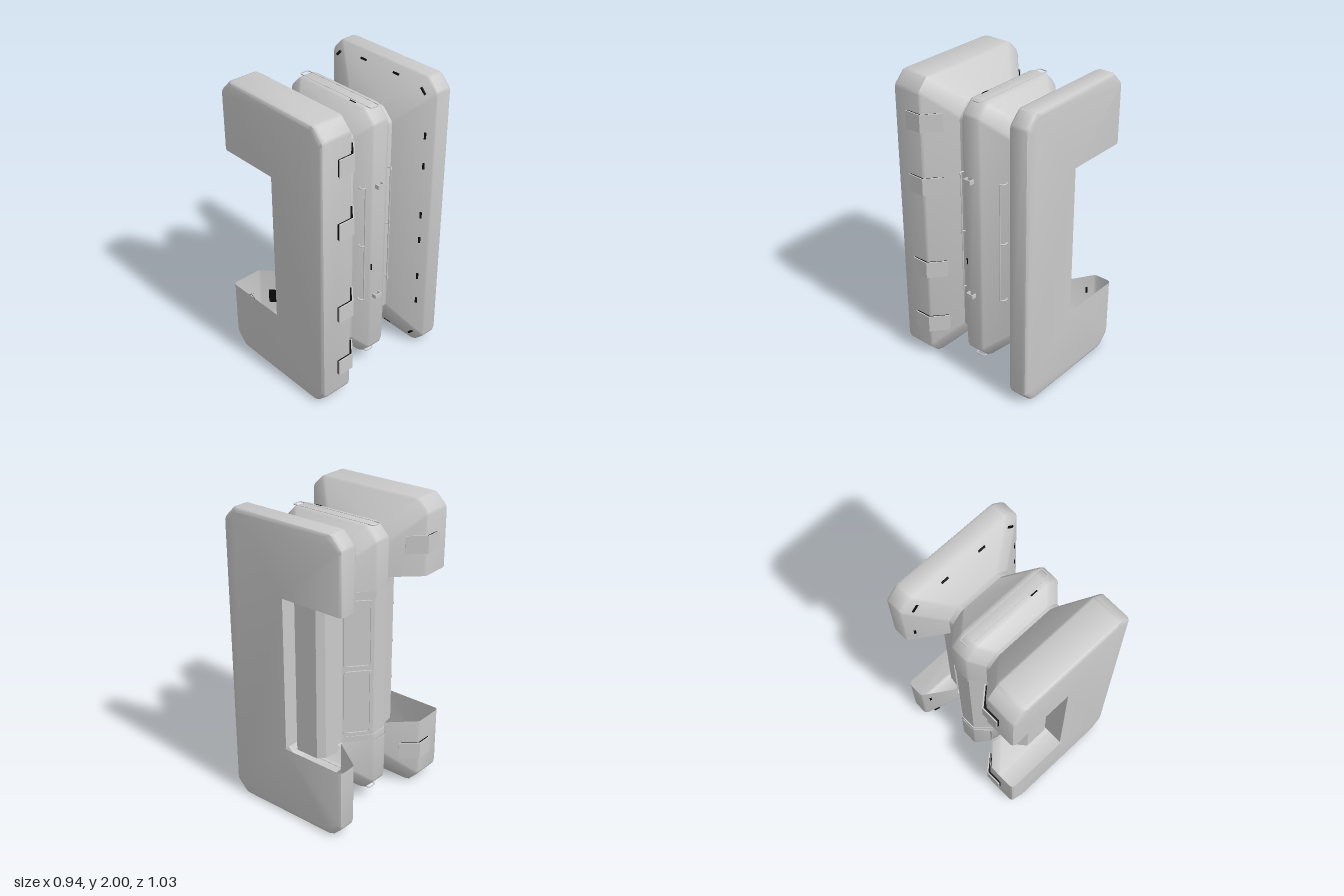
import * as THREE from 'three';
import { mergeGeometries, toCreasedNormals } from 'three/addons/utils/BufferGeometryUtils.js';

const NOTCH_LOW = 0.49, NOTCH_HIGH = 1.52;

export function createModel() {
  const root = new THREE.Group();
  const grey = new THREE.MeshStandardMaterial({ color: 0xcacaca, side: THREE.DoubleSide });
  grey.name = 'panelGrey';
  const black = new THREE.MeshStandardMaterial({ color: 0x0a0a0a });
  black.name = 'slotBlack';

  function add(name, geo, x = 0, y = 0, z = 0, ry = 0, mat = grey, rx = 0) {
    const m = new THREE.Mesh(geo, mat);
    m.name = name;
    m.position.set(x, y, z);
    m.rotation.set(rx, ry, 0);
    root.add(m);
    return m;
  }

  // Outline open at the notch on -x: up, over the top, down +x, under and back
  function outline(d) {
    const hx = 0.45 - d, hy = 1 - d;
    const corner = [[0, 0.092], [0.007, 0.072], [0.072, 0.007], [0.092, 0]];
    const back = corner.slice().reverse();
    const pts = [[-hx, NOTCH_HIGH]];
    corner.forEach(([a, b]) => pts.push([-hx + a, 1 + hy - b]));
    back.forEach(([a, b]) => pts.push([hx - a, 1 + hy - b]));
    corner.forEach(([a, b]) => pts.push([hx - a, 1 - hy + b]));
    back.forEach(([a, b]) => pts.push([-hx + a, 1 - hy + b]));
    pts.push([-hx, NOTCH_LOW]);
    return pts;
  }

  // Hollow shell: [z, inset] rings through front slab, middle and back slab
  const rings = [
    [0.514, 0.025], [0.506, 0.007], [0.489, 0], [0.305, 0], [0.29, 0.01],
    [0.14, 0.17], [0.12, 0.17], [0.045, 0.096], [0.03, 0.09], [-0.065, 0.09],
    [-0.085, 0.1], [-0.215, 0.22], [-0.245, 0.22], [-0.385, 0.008],
    [-0.4, 0], [-0.489, 0], [-0.506, 0.007], [-0.514, 0.025]
  ];
  const pos = [], index = [];
  const n = outline(0).length;
  rings.forEach(([z, d], i) => {
    outline(d).forEach(([x, y], j) => {
      pos.push(x, y, z);
      if (i && j) {
        const a = (i - 1) * n + j - 1, b = i * n + j - 1;
        index.push(a, a + 1, b, a + 1, b + 1, b);
      }
    });
  });
  const sides = new THREE.BufferGeometry();
  sides.setAttribute('position', new THREE.Float32BufferAttribute(pos, 3));
  sides.setIndex(index);

  // Flat C-shaped end faces, joined to the sides for a soft rim
  const face = new THREE.Shape([...outline(0.025), [0, NOTCH_LOW], [0, NOTCH_HIGH]]
    .map(([x, y]) => new THREE.Vector2(x, y)));
  function endFace(z) {
    const g = new THREE.ShapeGeometry(face).translate(0, 0, z);
    g.deleteAttribute('uv');
    g.deleteAttribute('normal');
    if (z < 0) g.setIndex([...g.index.array].reverse());
    return g;
  }
  add('shell', toCreasedNormals(mergeGeometries([sides, endFace(0.514), endFace(-0.514)]), 0.75));

  // Prism standing on y, from an [x, z] plan
  function prism(plan, height) {
    const s = new THREE.Shape(plan.map(([x, z]) => new THREE.Vector2(x, -z)));
    const g = new THREE.ExtrudeGeometry(s, { depth: height, bevelEnabled: false });
    return g.rotateX(-Math.PI / 2);
  }

  // Core exposed in the notch, following the waisted middle profile
  const plan = [
    [0.1, -0.505], [0.005, -0.505], [0.005, -0.4], [-0.16, -0.4], [-0.2, -0.36],
    [-0.222, -0.23], [-0.35, -0.075], [-0.35, 0.035], [-0.245, 0.135],
    [-0.21, 0.3], [-0.16, 0.36], [0.005, 0.36], [0.005, 0.505], [0.1, 0.505]
  ];
  add('core', prism(plan, NOTCH_HIGH - NOTCH_LOW), 0, NOTCH_LOW, 0);
  const collar = [
    [-0.2, -0.22], [-0.226, -0.23], [-0.357, -0.075], [-0.357, 0.035], [-0.25, 0.138], [-0.2, 0.13]
  ];
  [NOTCH_LOW, NOTCH_HIGH - 0.04].forEach(y => add('coreCollar', prism(collar, 0.04), 0, y, 0));

  // Ends of the core that run on inside the slabs
  const coreBack = [[0.005, -0.4], [-0.16, -0.4], [-0.2, -0.36], [-0.215, -0.26], [0.005, -0.26]];
  const coreFront = [[0.005, 0.36], [-0.16, 0.36], [-0.21, 0.3], [-0.235, 0.16], [0.005, 0.16]];
  [coreBack, coreFront].forEach(p =>
    [NOTCH_LOW - 0.06, NOTCH_HIGH].forEach(y => add('coreEnd', prism(p, 0.06), 0, y, 0)));

  // Rounded rectangular frame
  function roundRect(target, w, h, r) {
    const a = w / 2, b = h / 2;
    target.moveTo(-a + r, -b);
    target.lineTo(a - r, -b); target.quadraticCurveTo(a, -b, a, -b + r);
    target.lineTo(a, b - r); target.quadraticCurveTo(a, b, a - r, b);
    target.lineTo(-a + r, b); target.quadraticCurveTo(-a, b, -a, b - r);
    target.lineTo(-a, -b + r); target.quadraticCurveTo(-a, -b, -a + r, -b);
    return target;
  }
  function frame(w, h, t, depth, r) {
    const s = roundRect(new THREE.Shape(), w, h, r);
    s.holes.push(roundRect(new THREE.Path(), w - 2 * t, h - 2 * t, r * 0.6));
    return new THREE.ExtrudeGeometry(s, { depth, bevelEnabled: false, curveSegments: 4 });
  }
  const windowTurn = Math.atan2(-0.155, -0.128);
  [0.77, 1.24].forEach(y =>
    add('windowFrame', frame(0.18, 0.45, 0.016, 0.01, 0.025), -0.286, y, -0.1525, windowTurn));

  // Cross bars on the bevelled front edge of the core
  [0.74, 1.005, 1.27].forEach(y =>
    add('coreRung', new THREE.BoxGeometry(0.07, 0.014, 0.008), -0.185, y, 0.33, Math.atan2(-0.06, 0.05)));

  // Wraparound clasps on the front slab, each over a dark liner
  const claspPlan = [[0.462, 0.402], [0.47, 0.402], [0.47, 0.288], [0.364, 0.195], [0.359, 0.201], [0.462, 0.292]];
  const linerPlan = [[0.45, 0.4], [0.462, 0.4], [0.462, 0.292], [0.363, 0.205], [0.355, 0.213], [0.45, 0.297]];
  [1, -1].forEach(side => {
    const ys = side > 0 ? [0.275, 0.7, 1.305, 1.73] : [0.275, 1.73];
    const flip = ([x, z]) => [x * side, z];
    ys.forEach(y => {
      add('clasp', prism(claspPlan.map(flip), 0.115), 0, y - 0.0575, 0);
      add('claspLiner', prism(linerPlan.map(flip), 0.107), 0, y - 0.0535, 0, 0, black);
    });
  });

  // Low seal frames on the top and bottom of the middle section
  add('topSeal', frame(0.63, 0.07, 0.006, 0.005, 0.02), 0, 1.907, -0.02, 0, grey, -Math.PI / 2);
  add('bottomSeal', frame(0.63, 0.07, 0.006, 0.005, 0.02), 0, 0.093, -0.02, 0, grey, Math.PI / 2);

  // Rails on curved hooks and square tie loops on the +x side
  const hooks = [
    [[0.243, -0.195], [0.262, -0.204], [0.28, -0.2], [0.293, -0.182]],
    [[0.305, 0.09], [0.318, 0.102], [0.336, 0.098], [0.346, 0.08]]
  ];
  hooks.forEach(hook => {
    [0.585, 1.0, 1.415].forEach(y => {
      const curve = new THREE.CatmullRomCurve3(hook.map(([x, z]) => new THREE.Vector3(x, y, z)));
      add('railHook', new THREE.TubeGeometry(curve, 16, 0.006, 6));
    });
    const [ex, ez] = hook[3];
    add('sideRail', new THREE.CylinderGeometry(0.005, 0.005, 0.84, 6), ex, 1, ez);
  });
  [0.58, 1.4].forEach(y =>
    add('tieLoop', frame(0.04, 0.054, 0.007, 0.028, 0.006), 0.373, y, -0.009, 0, grey, -Math.PI / 2));

  // Small dark slots on the sloping inner side of the back slab
  const slope = Math.atan2(0.14, 0.212);
  function sideSlots(side, ys) {
    ys.forEach(y => add('sideSlot', new THREE.BoxGeometry(0.014, 0.045, 0.006),
      0.4 * side, y, -0.357, slope * side, black));
  }
  sideSlots(1, [0.38, 0.58, 0.87, 1.06, 1.42, 1.63]);
  sideSlots(-1, [0.38, 1.63]);
  [1, -1].forEach(up => {
    [-0.14, 0.14].forEach(x => add('endSlot', new THREE.BoxGeometry(0.05, 0.014, 0.006),
      x, 1 + 0.95 * up, -0.357, 0, black, -slope * up));
    [1, -1].forEach(side => {
      const slot = add('cornerSlot', new THREE.BoxGeometry(0.05, 0.014, 0.008),
        0.366 * side, 1 + 0.916 * up, -0.357, 0, black);
      slot.rotation.z = -Math.PI / 4 * side * up;
    });
  });
  add('middleSlot', new THREE.BoxGeometry(0.006, 0.045, 0.008), 0.358, 0.825, 0.032, 0, black);
  add('topSlot', new THREE.BoxGeometry(0.05, 0.006, 0.008), 0.175, 1.908, 0.03, 0, black);

  return root;
}
